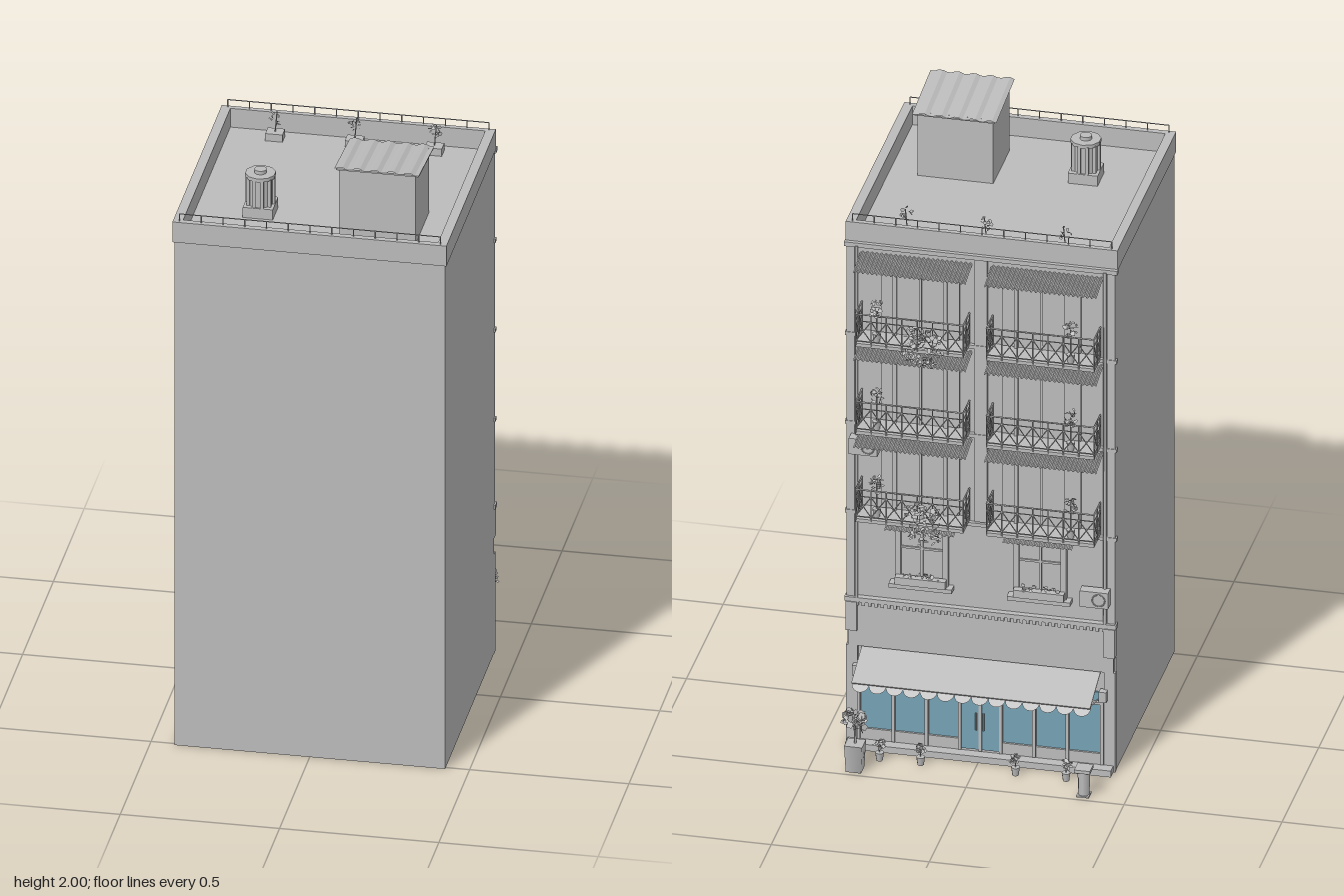
import * as THREE from 'three';
import { mergeGeometries } from 'three/addons/utils/BufferGeometryUtils.js';

const plaster = new THREE.MeshStandardMaterial({ color: 0xbcbcbc, side: THREE.DoubleSide });
plaster.name = 'plaster grey';
const glass = new THREE.MeshStandardMaterial({ color: 0x76a2b4, side: THREE.DoubleSide });
glass.name = 'shop glass blue';

let seed = 7;
const rnd = () => (seed = (seed * 16807) % 2147483647) / 2147483647;
const V = (x, y, z) => new THREE.Vector3(x, y, z);

function add(parent, name, geo, x = 0, y = 0, z = 0, mat = plaster) {
  const m = new THREE.Mesh(geo, mat);
  m.name = name;
  m.position.set(x, y, z);
  parent.add(m);
  return m;
}
// box given by its limits
function box(parent, name, x0, x1, y0, y1, z0, z1, mat) {
  return add(parent, name, new THREE.BoxGeometry(x1 - x0, y1 - y0, z1 - z0),
    (x0 + x1) / 2, (y0 + y1) / 2, (z0 + z1) / 2, mat);
}
function group(parent, name, x = 0, y = 0, z = 0) {
  const g = new THREE.Group();
  g.name = name;
  g.position.set(x, y, z);
  parent.add(g);
  return g;
}
// thin rod geometry between two points
function rod(a, b, r = 0.0018) {
  const g = new THREE.CylinderGeometry(r, r, a.distanceTo(b), 4);
  const q = new THREE.Quaternion().setFromUnitVectors(V(0, 1, 0), b.clone().sub(a).normalize());
  return g.applyQuaternion(q).translate((a.x + b.x) / 2, (a.y + b.y) / 2, (a.z + b.z) / 2);
}
// ribbed sheet lying flat, tilted down towards -z
function corrugated(parent, name, w, depth, ribs, amp, tilt, x, y, z) {
  const g = new THREE.PlaneGeometry(w, depth, ribs * 4, 1);
  const p = g.attributes.position;
  for (let i = 0; i < p.count; i++) {
    const k = Math.round((p.getX(i) / w + 0.5) * ribs * 4) % 4;
    p.setZ(i, k === 1 || k === 2 ? amp : -amp);
  }
  g.rotateX(-Math.PI / 2).rotateX(-tilt);
  const flat = g.toNonIndexed();
  flat.computeVertexNormals();
  return add(parent, name, flat, x, y, z);
}
// cloud of small leaves inside an ellipsoid
function foliage(parent, name, n, rx, ry, rz, size, x, y, z) {
  const parts = [];
  for (let i = 0; i < n; i++) {
    const d = V(rnd() - 0.5, rnd() - 0.5, rnd() - 0.5).normalize().multiplyScalar(Math.cbrt(rnd()));
    parts.push(new THREE.CircleGeometry(size * (0.7 + 0.6 * rnd()), 5)
      .rotateX(rnd() * 6).rotateY(rnd() * 6).translate(d.x * rx, d.y * ry, d.z * rz));
  }
  return add(parent, name, mergeGeometries(parts), x, y, z);
}
function pottedPlant(parent, x, y, z, h, spread) {
  const g = group(parent, 'pottedPlant', x, y, z);
  add(g, 'pot', new THREE.CylinderGeometry(0.014, 0.01, 0.028, 8), 0, 0.014, 0);
  add(g, 'stem', rod(V(0, 0.02, 0), V(0, h * 0.8, 0)));
  foliage(g, 'leaves', 28, spread, h * 0.22, spread, 0.007, 0, h * 0.8, 0);
}

function airConditioner(parent, x, y) {
  const g = group(parent, 'airConditioner', x, y, -0.313);
  add(g, 'case', new THREE.BoxGeometry(0.09, 0.055, 0.035));
  add(g, 'fanRing', new THREE.TorusGeometry(0.02, 0.002, 4, 16), -0.015, 0, -0.018);
}

function balcony(parent, x, y, planted, door) {
  const g = group(parent, 'balcony', x, y, 0);
  const w = 0.17, zf = -0.378, zb = -0.292, top = 0.108;
  box(g, 'floor', -w, w, -0.006, 0.006, zf, -0.28);
  // door with frame, shutters and louvres
  const d = group(g, 'balconyDoor', door, 0, 0);
  box(d, 'leaf', -0.075, 0.075, 0, 0.235, -0.291, -0.28);
  for (const s of [-1, 1]) {
    box(d, 'jamb', s * 0.08 - 0.006, s * 0.08 + 0.006, 0, 0.245, -0.3, -0.28);
    box(d, 'shutter', s * 0.105 - 0.019, s * 0.105 + 0.019, 0.01, 0.235, -0.296, -0.28);
  }
  box(d, 'meetingStile', -0.004, 0.004, 0, 0.235, -0.296, -0.28);
  box(d, 'lintel', -0.09, 0.09, 0.235, 0.248, -0.302, -0.28);
  // railing: rails, posts and crossed bars
  const bars = [];
  const side = (a, b, n) => {
    for (const h of [0.015, 0.085, top]) bars.push(rod(V(a.x, h, a.z), V(b.x, h, b.z), h === top ? 0.003 : 0.002));
    for (let i = 0; i < n; i++) {
      const p = a.clone().lerp(b, i / n), q = a.clone().lerp(b, (i + 1) / n);
      bars.push(rod(V(p.x, 0, p.z), V(p.x, top, p.z), 0.0022));
      bars.push(rod(V(p.x, 0.015, p.z), V(q.x, 0.085, q.z)), rod(V(p.x, 0.085, p.z), V(q.x, 0.015, q.z)));
    }
    bars.push(rod(V(b.x, 0, b.z), V(b.x, top, b.z), 0.0022));
  };
  side(V(-w, 0, zf), V(w, 0, zf), 7);
  side(V(-w, 0, zb), V(-w, 0, zf), 2);
  side(V(w, 0, zb), V(w, 0, zf), 2);
  add(g, 'railing', mergeGeometries(bars));
  corrugated(g, 'ribbedAwning', 0.355, 0.1, 24, 0.003, 0.22, 0, 0.267, -0.335);
  for (const s of [-1, 1]) add(g, 'awningBracket', rod(V(s * 0.165, 0.24, -0.29), V(s * 0.165, 0.257, -0.375)));
  pottedPlant(g, x > 0 ? 0.11 : -0.09, 0.006, -0.35, 0.14, 0.022);
  if (planted) foliage(g, 'hangingPlant', 110, 0.07, 0.085, 0.012, 0.008, -0.045, 0.02, -0.392);
}

function shopFront(parent) {
  const g = group(parent, 'shopFront');
  box(g, 'step', -0.42, 0.42, 0, 0.022, -0.335, -0.28);
  box(g, 'stallRiser', -0.39, 0.39, 0.022, 0.06, -0.3, -0.28);
  box(g, 'windowGlass', -0.38, 0.38, 0.06, 0.27, -0.293, -0.287, glass);
  box(g, 'doorGlass', -0.06, 0.06, 0.03, 0.235, -0.304, -0.298, glass);
  for (const x of [-0.385, -0.275, -0.17, -0.065, 0, 0.065, 0.17, 0.275, 0.385])
    box(g, 'mullion', x - 0.005, x + 0.005, 0.025, 0.27, -0.307, -0.28);
  box(g, 'transom', -0.385, 0.385, 0.232, 0.24, -0.304, -0.28);
  for (const s of [-1, 1]) {
    add(g, 'doorHandle', rod(V(s * 0.012, 0.1, -0.31), V(s * 0.012, 0.16, -0.31), 0.003));
    box(g, 'cornerPier', s * 0.408 - 0.018, s * 0.408 + 0.018, 0, 0.345, -0.3, -0.28);
    box(g, 'console', s * 0.408 - 0.018, s * 0.408 + 0.018, 0.4, 0.5, -0.308, -0.28);
    add(g, 'awningArm', rod(V(s * 0.37, 0.245, -0.295), V(s * 0.37, 0.284, -0.43), 0.003));
    box(g, 'wallLamp', s * 0.39 - 0.012, s * 0.39 + 0.012, 0.25, 0.285, -0.32, -0.295);
  }
  box(g, 'fascia', -0.42, 0.42, 0.345, 0.5, -0.3, -0.28);
  box(g, 'fasciaCornice', -0.43, 0.43, 0.5, 0.515, -0.305, -0.28);
  for (let i = 0; i < 40; i++) box(g, 'dentil', -0.395 + i * 0.02, -0.385 + i * 0.02, 0.488, 0.5, -0.305, -0.298);
  // canvas with scalloped edge folding back beneath it
  const slope = Math.atan2(0.055, 0.145);
  const canvas = add(g, 'shopAwning', new THREE.BoxGeometry(0.755, 0.004, 0.156), 0, 0.313, -0.362);
  canvas.rotation.x = -slope;
  const n = 14, r = 0.755 / n / 2, s = new THREE.Shape();
  s.moveTo(-0.3775, 0.012);
  s.lineTo(-0.3775, 0);
  for (let i = 0; i < n; i++) s.absarc(-0.3775 + r * (2 * i + 1), 0, r, Math.PI, 2 * Math.PI, false);
  s.lineTo(0.3775, 0.012);
  const scallops = add(g, 'scallopedValance', new THREE.ShapeGeometry(s, 6), 0, 0.279, -0.425);
  scallops.rotation.x = 0.9;
}

function firstFloorWindow(parent, x) {
  const g = group(parent, 'firstFloorWindow', x, 0.57, 0);
  box(g, 'pane', -0.07, 0.07, 0.02, 0.195, -0.289, -0.28);
  for (const s of [-1, 1]) box(g, 'jamb', s * 0.075 - 0.009, s * 0.075 + 0.009, 0.01, 0.205, -0.3, -0.28);
  box(g, 'mullion', -0.004, 0.004, 0.02, 0.195, -0.295, -0.28);
  box(g, 'crossbar', -0.07, 0.07, 0.13, 0.137, -0.294, -0.28);
  box(g, 'head', -0.09, 0.09, 0.193, 0.208, -0.302, -0.28);
  box(g, 'sill', -0.1, 0.1, 0, 0.014, -0.318, -0.28);
  box(g, 'flowerBox', -0.08, 0.08, 0.014, 0.04, -0.322, -0.298);
  foliage(g, 'flowers', 30, 0.075, 0.012, 0.012, 0.006, 0, 0.045, -0.312);
  corrugated(g, 'windowHood', 0.22, 0.05, 14, 0.002, 0.3, 0, 0.217, -0.313);
}

function roofTop(parent) {
  const g = group(parent, 'roofTop');
  // parapet ring
  const ring = new THREE.Shape([[-0.43, -0.515], [0.43, -0.515], [0.43, 0.287], [-0.43, 0.287]].map(p => new THREE.Vector2(...p)));
  ring.holes.push(new THREE.Path([[-0.4, -0.495], [-0.4, 0.27], [0.4, 0.27], [0.4, -0.495]].map(p => new THREE.Vector2(...p))));
  add(g, 'parapet', new THREE.ExtrudeGeometry(ring, { depth: 0.07, bevelEnabled: false }).rotateX(-Math.PI / 2), 0, 1.745, 0);
  // low rails on the two short edges
  for (const z of [-0.279, 0.505]) {
    const bars = [rod(V(-0.41, 1.84, z), V(0.41, 1.84, z))];
    for (let i = 0; i <= 12; i++) bars.push(rod(V(-0.41 + i * 0.0683, 1.81, z), V(-0.41 + i * 0.0683, 1.84, z)));
    add(g, 'roofRail', mergeGeometries(bars));
  }
  // stair house with ribbed sloping roof
  const house = new THREE.Shape([[-0.395, 0], [-0.175, 0], [-0.175, 0.232], [-0.395, 0.252]].map(p => new THREE.Vector2(...p)));
  add(g, 'stairHouse', new THREE.ExtrudeGeometry(house, { depth: 0.24, bevelEnabled: false }).rotateY(Math.PI / 2), 0.07, 1.74, 0);
  corrugated(g, 'stairHouseRoof', 0.266, 0.252, 5, 0.003, 0.094, 0.19, 1.985, 0.284);
  const edge = box(g, 'stairHouseEave', 0.062, 0.322, 1.977, 1.982, 0.162, 0.408);
  edge.rotation.x = -0.094;
  // ventilator
  const v = group(g, 'ventilator', -0.2, 1.74, 0.275);
  box(v, 'base', -0.047, 0.047, 0, 0.045, -0.045, 0.045);
  add(v, 'drum', new THREE.CylinderGeometry(0.04, 0.04, 0.13, 10), 0, 0.075, 0);
  for (let i = 0; i < 10; i++) {
    const a = i * Math.PI / 5;
    add(v, 'fin', new THREE.BoxGeometry(0.01, 0.1, 0.01), Math.cos(a) * 0.041, 0.09, Math.sin(a) * 0.041);
  }
  add(v, 'cap', new THREE.CylinderGeometry(0.048, 0.048, 0.012, 10), 0, 0.143, 0);
  add(v, 'spout', new THREE.CylinderGeometry(0.019, 0.019, 0.014, 12), 0, 0.154, 0);
  // planters
  for (const x of [-0.25, 0, 0.25]) {
    box(g, 'roofPlanter', x - 0.027, x + 0.027, 1.74, 1.775, -0.242, -0.2);
    add(g, 'twig', rod(V(x, 1.77, -0.22), V(x + 0.006, 1.845, -0.222)));
    foliage(g, 'twigLeaves', 14, 0.022, 0.03, 0.014, 0.006, x, 1.822, -0.22);
  }
}

function pavementItems(parent) {
  // potted tree
  const t = group(parent, 'pottedTree', 0.36, 0, -0.46);
  add(t, 'treePot', new THREE.CylinderGeometry(0.04, 0.034, 0.092, 4).rotateY(Math.PI / 4), 0, 0.046, 0);
  add(t, 'trunk', rod(V(0, 0.09, 0), V(0, 0.17, 0), 0.004));
  foliage(t, 'crown', 90, 0.045, 0.036, 0.045, 0.01, 0, 0.172, 0);
  // litter bin
  const b = group(parent, 'litterBin', -0.365, 0, -0.465);
  add(b, 'binBody', new THREE.CylinderGeometry(0.02, 0.018, 0.082, 8), 0, 0.045, 0);
  box(b, 'binLid', -0.025, 0.025, 0.086, 0.097, -0.025, 0.025);
  box(b, 'binFoot', -0.02, 0.02, 0, 0.005, -0.02, 0.02);
  // small shrubs before the shop
  for (const x of [0.3, 0.17, -0.13, -0.29]) pottedPlant(parent, x, 0, -0.385, 0.07, 0.018);
}

export function createModel() {
  const model = new THREE.Group();
  model.name = 'townHouse';

  // hollow body, open below
  const shell = new THREE.BoxGeometry(0.85, 1.75, 0.795);
  const idx = Array.from(shell.index.array);
  idx.splice(18, 6);
  shell.setIndex(idx);
  shell.clearGroups();
  add(model, 'walls', shell, 0, 0.875, 0.1125);
  box(model, 'shopFloor', -0.4, 0.4, 0.004, 0.02, -0.284, 0.03);

  // facade bands, pilasters and downpipes
  for (const y of [0.81, 1.12, 1.43]) box(model, 'stringCourse', -0.43, 0.43, y - 0.006, y + 0.006, -0.298, -0.28);
  box(model, 'cornice', -0.432, 0.432, 1.735, 1.75, -0.3, -0.28);
  for (const s of [-1, 1]) {
    box(model, 'pilaster', s * 0.412 - 0.013, s * 0.412 + 0.013, 0.515, 1.74, -0.296, -0.28);
    add(model, 'downpipe', rod(V(s * 0.393, 0.515, -0.3), V(s * 0.393, 1.74, -0.3), 0.005));
  }
  box(model, 'centrePilaster', -0.02, 0.02, 0.82, 1.74, -0.296, -0.28);

  for (let row = 0; row < 3; row++)
    for (const s of [-1, 1]) balcony(model, s * 0.207, 0.825 + row * 0.306, s > 0 && row !== 1, s * -0.015);
  for (const s of [-1, 1]) firstFloorWindow(model, s * 0.187);
  airConditioner(model, -0.365, 0.61);
  airConditioner(model, 0.365, 1.055);

  shopFront(model);
  roofTop(model);
  pavementItems(model);
  return model;
}
